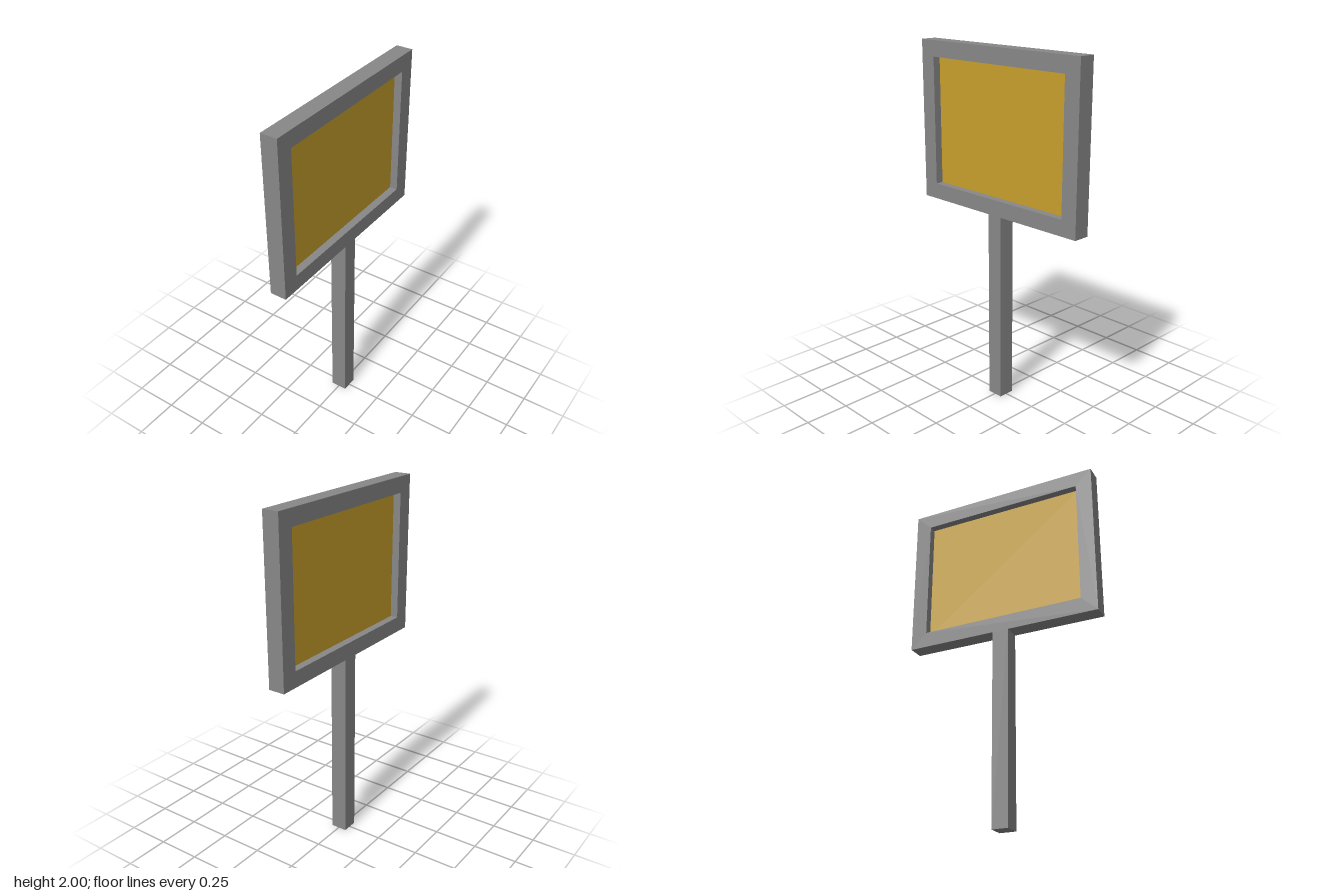
import * as THREE from 'three';

const DEPTH = 0.094;
const FRAME_BOTTOM = 1.095;
const FRAME_TOP = 2;
const FRAME_HALF = 0.575;
const OPEN_BOTTOM = 1.185;
const OPEN_TOP = 1.91;
const OPEN_HALF = 0.48;

// Adds a closed rectangle to a shape or hole path
function rectangle(path, half, bottom, top) {
  path.moveTo(-half, bottom);
  path.lineTo(half, bottom);
  path.lineTo(half, top);
  path.lineTo(-half, top);
  path.closePath();
  return path;
}

function addMesh(group, name, geometry, material) {
  const mesh = new THREE.Mesh(geometry, material);
  mesh.name = name;
  group.add(mesh);
  return mesh;
}

export function createModel() {
  const group = new THREE.Group();
  group.name = 'signPost';

  const metal = new THREE.MeshStandardMaterial({ color: 0x888888 });
  metal.name = 'grey metal';
  const gold = new THREE.MeshStandardMaterial({ color: 0xc8a02c });
  gold.name = 'gold panel';

  // Square post, up to the underside of the frame
  const post = addMesh(group, 'post', new THREE.BoxGeometry(DEPTH, FRAME_BOTTOM, DEPTH), metal);
  post.position.y = FRAME_BOTTOM / 2;

  // Rectangular frame with an opening, facing sideways
  const outline = rectangle(new THREE.Shape(), FRAME_HALF, FRAME_BOTTOM, FRAME_TOP);
  outline.holes.push(rectangle(new THREE.Path(), OPEN_HALF, OPEN_BOTTOM, OPEN_TOP));
  const frame = new THREE.ExtrudeGeometry(outline, { depth: DEPTH, bevelEnabled: false });
  frame.translate(0, 0, -DEPTH / 2);
  frame.rotateY(Math.PI / 2);
  addMesh(group, 'frame', frame, metal);

  // Thin panel set in the middle of the frame
  const panel = addMesh(group, 'panel',
    new THREE.BoxGeometry(0.006, OPEN_TOP - OPEN_BOTTOM, OPEN_HALF * 2), gold);
  panel.position.y = (OPEN_TOP + OPEN_BOTTOM) / 2;

  return group;
}
